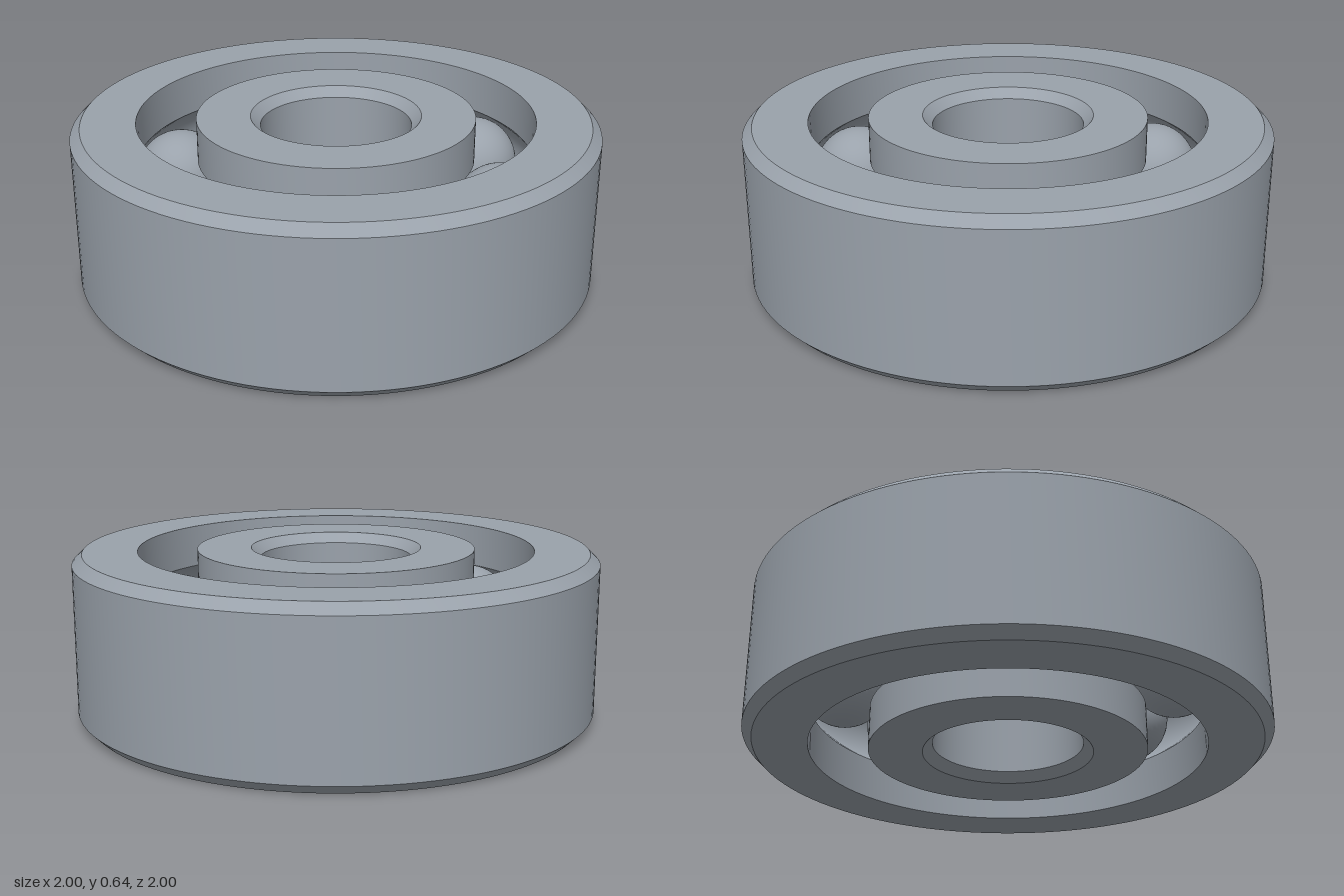
import * as THREE from 'three';
import { toCreasedNormals } from 'three/addons/utils/BufferGeometryUtils.js';

const HEIGHT = 0.64, MID = HEIGHT / 2;
const PITCH = 0.6425;          // radius of the circle of ball centres
const BALL_RADIUS = 0.178, BALL_COUNT = 8, BALL_START = 0.207;
const GROOVE_RADIUS = 0.19;
const INNER_LAND = 0.53, OUTER_LAND = 0.755;

// Arc of a raceway groove; side is +1 for the outer ring, -1 for the inner one
function grooveArc(landRadius, side) {
  const half = Math.acos(Math.abs(landRadius - PITCH) / GROOVE_RADIUS);
  const points = [];
  for (let i = 0; i <= 16; i++) {
    const a = side * half * (1 - i / 8);
    points.push([PITCH + side * GROOVE_RADIUS * Math.cos(a), MID + GROOVE_RADIUS * Math.sin(a)]);
  }
  return points;
}

// Closed ring section turned about the y axis, with crisp chamfers
function ring(name, profile, material) {
  const points = [...profile, profile[0]].map(([r, y]) => new THREE.Vector2(r, y));
  const geometry = toCreasedNormals(new THREE.LatheGeometry(points, 128), Math.PI / 6);
  const mesh = new THREE.Mesh(geometry, material);
  mesh.name = name;
  return mesh;
}

export function createModel() {
  const steel = new THREE.MeshStandardMaterial({ color: 0x9aa2ab });
  steel.name = 'steel';
  const model = new THREE.Group();
  model.name = 'ballBearing';

  // Outer ring, chamfered on the outside and grooved on the inside
  model.add(ring('outerRing', [
    [OUTER_LAND, 0], [0.962, 0], [1, 0.038], [1, HEIGHT - 0.038], [0.962, HEIGHT],
    [OUTER_LAND, HEIGHT], ...grooveArc(OUTER_LAND, 1),
  ], steel));

  // Inner ring, grooved on the outside with a chamfered bore
  model.add(ring('innerRing', [
    [0.325, 0], [INNER_LAND, 0], ...grooveArc(INNER_LAND, -1), [INNER_LAND, HEIGHT],
    [0.325, HEIGHT], [0.288, HEIGHT - 0.037], [0.288, 0.037],
  ], steel));

  // Balls spaced evenly around the raceway
  const balls = new THREE.Group();
  balls.name = 'balls';
  const ballGeometry = new THREE.SphereGeometry(BALL_RADIUS, 48, 32);
  for (let i = 0; i < BALL_COUNT; i++) {
    const a = BALL_START + (i / BALL_COUNT) * Math.PI * 2;
    const ball = new THREE.Mesh(ballGeometry, steel);
    ball.name = `ball${i + 1}`;
    ball.position.set(PITCH * Math.cos(a), MID, PITCH * Math.sin(a));
    balls.add(ball);
  }
  model.add(balls);
  return model;
}
